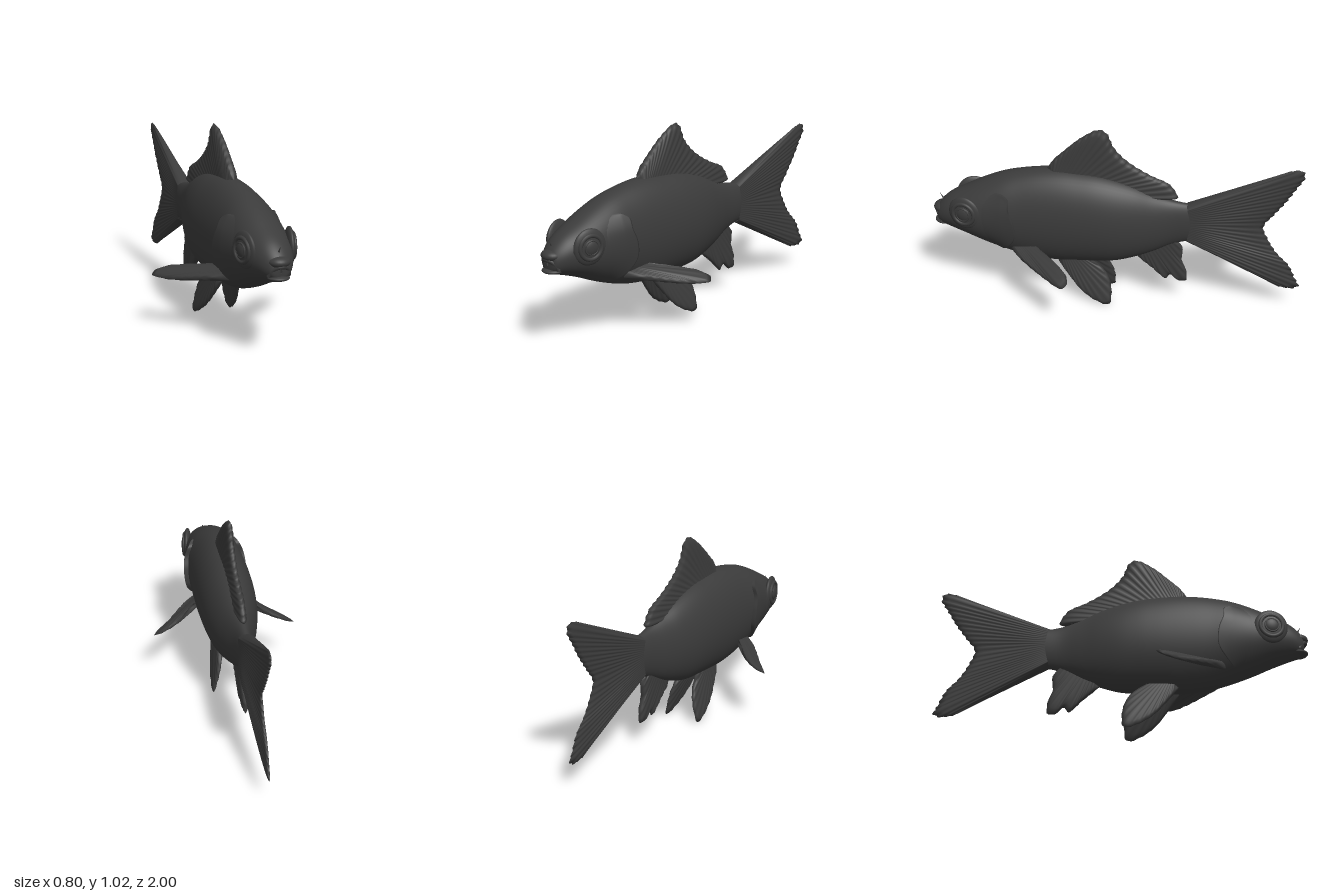
import * as THREE from 'three';
import { mergeVertices } from 'three/addons/utils/BufferGeometryUtils.js';

const skin = new THREE.MeshStandardMaterial({ color: 0x3b3b3b, side: THREE.DoubleSide });
skin.name = 'dark grey skin';

// Body stations: z, bottom, top, half width
const stations = [
  [0.975, 0.455, 0.475, 0.005], [0.97, 0.425, 0.52, 0.045], [0.95, 0.41, 0.55, 0.066],
  [0.9, 0.395, 0.595, 0.095], [0.8, 0.36, 0.65, 0.13], [0.7, 0.317, 0.7, 0.146],
  [0.6, 0.28, 0.74, 0.153], [0.5, 0.25, 0.765, 0.153], [0.4, 0.233, 0.78, 0.155],
  [0.3, 0.228, 0.785, 0.156], [0.2, 0.233, 0.78, 0.155], [0.1, 0.238, 0.77, 0.15],
  [0, 0.247, 0.748, 0.138], [-0.1, 0.275, 0.715, 0.115], [-0.2, 0.315, 0.67, 0.083],
  [-0.3, 0.365, 0.635, 0.053], [-0.4, 0.395, 0.62, 0.04], [-0.5, 0.4, 0.625, 0.03],
  [-0.62, 0.44, 0.58, 0.012], [-0.66, 0.5, 0.52, 0.002],
];

// Surface swept over a grid, with shared vertices smoothed
function surface(nu, nv, f) {
  const pos = [], index = [];
  for (let i = 0; i <= nu; i++)
    for (let j = 0; j <= nv; j++) pos.push(...f(i / nu, j / nv));
  for (let i = 0; i < nu; i++)
    for (let j = 0; j < nv; j++) {
      const a = i * (nv + 1) + j, b = a + nv + 1;
      index.push(a, b, a + 1, b, b + 1, a + 1);
    }
  let g = new THREE.BufferGeometry();
  g.setAttribute('position', new THREE.Float32BufferAttribute(pos, 3));
  g.setIndex(index);
  g = mergeVertices(g, 1e-5);
  g.computeVertexNormals();
  return g;
}

// Half width of the body at a given z and height
function bodyX(z, y) {
  let i = 0;
  while (i < stations.length - 2 && stations[i + 1][0] > z) i++;
  const a = stations[i], b = stations[i + 1], k = (z - a[0]) / (b[0] - a[0]);
  const [lo, hi, w] = [1, 2, 3].map((n) => a[n] + (b[n] - a[n]) * k);
  const v = (y - (lo + hi) / 2) / ((hi - lo) / 2);
  return w * Math.sqrt(Math.max(0, 1 - v * v));
}

const curve = (pts) => new THREE.CatmullRomCurve3(pts.map((p) => new THREE.Vector3(...p)), false, 'centripetal');

// Rayed fin: lens-like plate stretched between a root curve and an outer edge
function fin(rootPts, edgePts, normal, t0, t1, rays) {
  const root = curve(rootPts), edge = curve(edgePts);
  const n = new THREE.Vector3(...normal).normalize();
  const along = edge.getPoint(0.55).sub(edge.getPoint(0.45));
  const out = edge.getPoint(0.5).sub(root.getPoint(0.5));
  const s = Math.sign(along.cross(out).dot(n));
  return surface(rays * 4, 32, (u, q) => {
    const v = 1 - Math.abs(2 * q - 1), face = q <= 0.5 ? s : -s;
    const wave = Math.cos(rays * 2 * Math.PI * u);
    const p = root.getPoint(u).lerp(edge.getPointAt(u), v * (0.99 + 0.01 * wave));
    const rim = Math.sqrt(Math.min(1, 14 * u * (1 - u)) * (1 - v ** 8));
    const t = (t0 + (t1 - t0) * v) * rim * (1 + 0.16 * wave * v);
    return p.addScaledVector(n, t * face).toArray();
  });
}

// Side-view points placed on the middle plane
const mid = (pts) => pts.map(([z, y]) => [0, y, z]);

export function createModel() {
  const fish = new THREE.Group();
  fish.name = 'fish';
  const add = (name, geo, pos, scale) => {
    const m = new THREE.Mesh(geo, skin);
    m.name = name;
    if (pos) m.position.set(...pos);
    if (scale) m.scale.set(...scale);
    fish.add(m);
    return m;
  };

  // Body: elliptical rings along smooth profile curves
  const profile = curve(stations.map(([z, lo, hi]) => [lo, hi, z]));
  const widths = curve(stations.map(([z, , , w]) => [w, 0, z]));
  add('body', surface(110, 56, (u, v) => {
    const p = profile.getPoint(u), w = widths.getPoint(u).x, a = v * Math.PI * 2;
    return [w * Math.cos(a), (p.x + p.y) / 2 + ((p.y - p.x) / 2) * Math.sin(a), p.z];
  }));

  // Middle fins
  add('tailFin', fin(mid([[-0.38, 0.62], [-0.4, 0.51], [-0.38, 0.395]]),
    mid([[-0.91, 0.857], [-0.97, 0.865], [-0.99, 0.83], [-0.95, 0.755], [-0.9, 0.67], [-0.84, 0.585],
      [-0.79, 0.51], [-0.82, 0.43], [-0.87, 0.35], [-0.94, 0.275], [-0.98, 0.19], [-1, 0.15], [-0.97, 0.13], [-0.89, 0.135]]),
    [1, 0, 0], 0.042, 0.008, 26));
  add('dorsalFin', fin(mid([[0.35, 0.76], [0.3, 0.74], [0.2, 0.73], [0.05, 0.7], [-0.22, 0.635]]),
    mid([[0.37, 0.78], [0.33, 0.84], [0.28, 0.89], [0.18, 0.98], [0.09, 1.03], [0.05, 1.015], [0.01, 0.93],
      [-0.06, 0.855], [-0.18, 0.78], [-0.28, 0.735], [-0.31, 0.7], [-0.33, 0.65], [-0.25, 0.645]]),
    [1, 0, 0], 0.036, 0.018, 24));
  add('analFin', fin(mid([[-0.12, 0.31], [-0.2, 0.36], [-0.32, 0.41]]),
    mid([[-0.11, 0.275], [-0.2, 0.2], [-0.275, 0.135], [-0.3, 0.165], [-0.34, 0.13], [-0.385, 0.13],
      [-0.385, 0.2], [-0.36, 0.26], [-0.36, 0.345], [-0.32, 0.37]]),
    [1, 0, 0], 0.022, 0.016, 12));

  // Mouth: raised upper lip, flat lower jaw and an open gap between them
  const ball = new THREE.SphereGeometry(1, 28, 18);
  add('upperLip', ball, [0, 0.507, 0.945], [0.056, 0.03, 0.053]);
  add('lowerLip', ball, [0, 0.428, 0.94], [0.056, 0.016, 0.055]);
  add('mouthRim', new THREE.TubeGeometry(curve([[-0.052, 0.438, 0.945], [-0.036, 0.475, 0.965],
    [0, 0.49, 0.983], [0.036, 0.475, 0.965], [0.052, 0.438, 0.945]]), 24, 0.011, 10));
  add('snoutBarbel', new THREE.ConeGeometry(0.007, 0.045, 10), [0, 0.565, 0.95]).rotation.x = 0.5;

  // Paired parts
  const rear = curve([[0, 0.67, 0.6], [0, 0.645, 0.56], [0, 0.59, 0.555], [0, 0.52, 0.53], [0, 0.43, 0.525], [0, 0.37, 0.56], [0, 0.315, 0.61]]);
  for (const [side, s] of [['left', 1], ['right', -1]]) {
    const flip = (pts) => pts.map(([x, y, z]) => [x * s, y, z]);

    // Gill cover: flared shell that folds in at its rear edge
    add(side + 'GillCover', surface(40, 24, (u, v) => {
      const e = rear.getPoint(s > 0 ? u : 1 - u), c = 2 * u - 1;
      const front = 0.76 - 0.1 * c * c, k = Math.min(1, v / 0.9);
      const z = front + (e.z - front) * k + (v > 0.95 ? 0.006 : 0);
      const lift = v > 0.95 ? -0.015 : -0.005 + (0.013 + 0.018 * Math.sqrt(1 - c * c)) * k ** 1.3;
      return [s * (bodyX(z, e.y) + lift), e.y, z];
    }));

    // Eye: socket mound, ring and eyeball
    const eye = new THREE.Group();
    eye.name = side + 'Eye';
    eye.position.set(0.121 * s, 0.54, 0.803);
    eye.rotation.set(0, s * (Math.PI / 2 - 0.22), 0);
    const part = (name, geo, z, scale) => {
      const m = new THREE.Mesh(geo, skin);
      m.name = name;
      m.position.z = z;
      m.scale.set(...scale);
      eye.add(m);
    };
    part('socket', ball, -0.004, [0.09, 0.094, 0.024]);
    part('eyeRing', new THREE.TorusGeometry(0.06, 0.011, 10, 36), 0.012, [1, 1, 0.9]);
    part('eyeball', ball, 0.008, [0.045, 0.045, 0.022]);
    part('irisRing', new THREE.TorusGeometry(0.036, 0.004, 8, 32), 0.021, [1, 1, 1]);
    fish.add(eye);

    // Pectoral and pelvic fins
    add(side + 'PectoralFin', fin(flip([[0.1, 0.33, 0.56], [0.1, 0.345, 0.5], [0.1, 0.36, 0.43]]),
      flip([[0.17, 0.325, 0.51], [0.25, 0.305, 0.42], [0.335, 0.285, 0.315], [0.39, 0.284, 0.25],
        [0.4, 0.292, 0.22], [0.35, 0.315, 0.21], [0.245, 0.335, 0.285], [0.165, 0.35, 0.4]]),
      [0.15 * s, 1, 0], 0.022, 0.012, 12));
    const splay = (pts) => flip(pts.map(([z, y]) => [0.05 + (0.23 - y) * 0.23, y, z]));
    add(side + 'PelvicFin', fin(splay([[0.3, 0.27], [0.24, 0.275], [0.16, 0.27]]),
      splay([[0.31, 0.235], [0.25, 0.155], [0.17, 0.065], [0.08, 0.012], [0.025, 0.003], [0.012, 0.07],
        [0.03, 0.16], [0.07, 0.215], [0.14, 0.245]]),
      [s, 0.23, 0], 0.022, 0.012, 12));
  }
  return fish;
}
